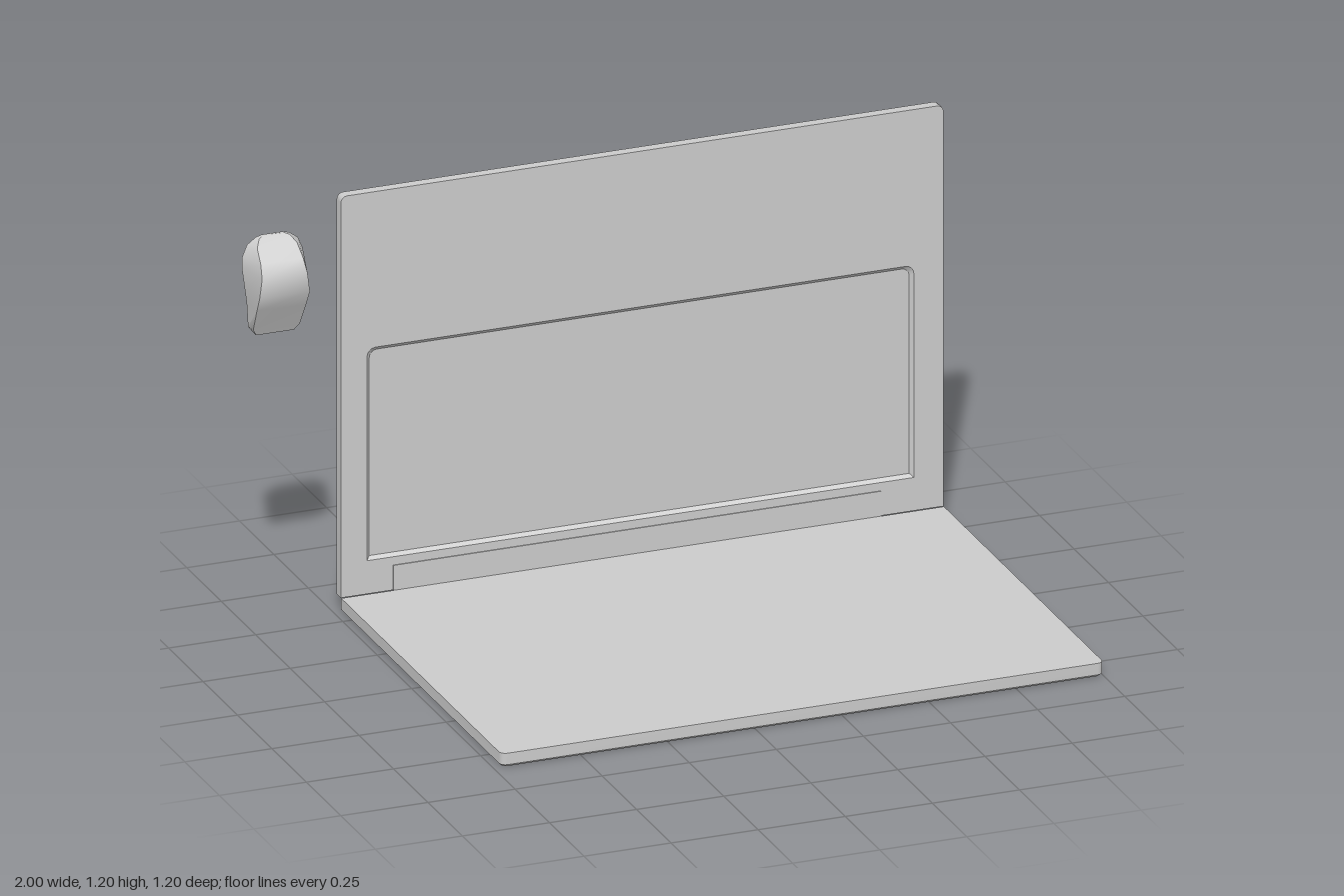
import * as THREE from 'three';
import { toCreasedNormals } from 'three/addons/utils/BufferGeometryUtils.js';

// Skin a stack of equal-length loops (anticlockwise seen from the last one) and cap both ends
function loft(loops) {
  const n = loops[0].length, pos = [], idx = [];
  loops.forEach(loop => loop.forEach(p => pos.push(...p)));
  for (let r = 0; r < loops.length - 1; r++) {
    for (let i = 0; i < n; i++) {
      const a = r * n + i, b = r * n + (i + 1) % n;
      idx.push(a, b, b + n, a, b + n, a + n);
    }
  }
  [0, loops.length - 1].forEach((r, end) => {
    const c = pos.length / 3;
    for (let k = 0; k < 3; k++) pos.push(loops[r].reduce((s, p) => s + p[k], 0) / n);
    for (let i = 0; i < n; i++) {
      const a = r * n + i, b = r * n + (i + 1) % n;
      idx.push(...(end ? [a, b, c] : [b, a, c]));
    }
  });
  const g = new THREE.BufferGeometry();
  g.setAttribute('position', new THREE.Float32BufferAttribute(pos, 3));
  g.setIndex(idx);
  return toCreasedNormals(g, 0.55);
}

// Rectangle at height z with square lower corners and rounded upper corners
function outline(x0, x1, y0, y1, r, z) {
  const steps = 4, pts = [[x0, y0, z], [x1, y0, z]];
  for (const [cx, start] of [[x1 - r, 0], [x0 + r, Math.PI / 2]]) {
    for (let i = 0; i <= steps; i++) {
      const t = start + (i / steps) * Math.PI / 2;
      pts.push([cx + r * Math.cos(t), y1 - r + r * Math.sin(t), z]);
    }
  }
  return pts;
}

export function createModel() {
  const group = new THREE.Group();
  const material = new THREE.MeshStandardMaterial({ color: 0xcccccc });
  const add = (name, geometry) => {
    const mesh = new THREE.Mesh(geometry, material);
    mesh.name = name;
    group.add(mesh);
    return mesh;
  };
  const L = -0.73, R = 1;

  // Upright panel with a shallow recess whose walls slope inward
  add('uprightPanel', loft([
    outline(L + 0.005, R - 0.005, 0.04, 1.195, 0.015, -0.6),
    outline(L, R, 0.04, 1.2, 0.018, -0.595),
    outline(L, R, 0.04, 1.2, 0.018, -0.565),
    outline(-0.655, 0.915, 0.136, 0.75, 0.025, -0.565),
    outline(-0.645, 0.905, 0.146, 0.74, 0.022, -0.574),
  ]));

  // Flat panel lying on the ground, its lower rim eased
  const base = add('flatPanel', loft([
    outline(L, R, -0.562, 0.6, 0.018, -0.04),
    outline(L, R, -0.562, 0.6, 0.018, -0.007),
    outline(L + 0.007, R - 0.007, -0.562, 0.593, 0.015, 0),
  ]));
  base.rotation.x = Math.PI / 2;

  // Thin hinge strip along the foot of the upright panel
  const hinge = add('hingeStrip', new THREE.BoxGeometry(1.4, 0.072, 0.012));
  hinge.position.set(0.12, 0.076, -0.568);

  // Mouse: rows of [y, half width at back, half width at crown, crown z]
  const rows = [
    [0.83, 0.055, 0.054, -0.58],
    [0.85, 0.07, 0.067, -0.57],
    [0.92, 0.074, 0.071, -0.533],
    [0.965, 0.08, 0.072, -0.51],
    [1.02, 0.0875, 0.065, -0.51],
    [1.055, 0.0865, 0.061, -0.53],
    [1.087, 0.073, 0.057, -0.566],
    [1.105, 0.048, 0.044, -0.585],
    [1.11, 0.032, 0.03, -0.592],
  ];
  const cx = -0.9125, back = -0.6;
  add('mouse', loft(rows.map(([y, w, c, z]) => [
    [cx - c, y, z], [cx + c, y, z], [cx + w, y, back], [cx - w, y, back],
  ])));

  return group;
}
